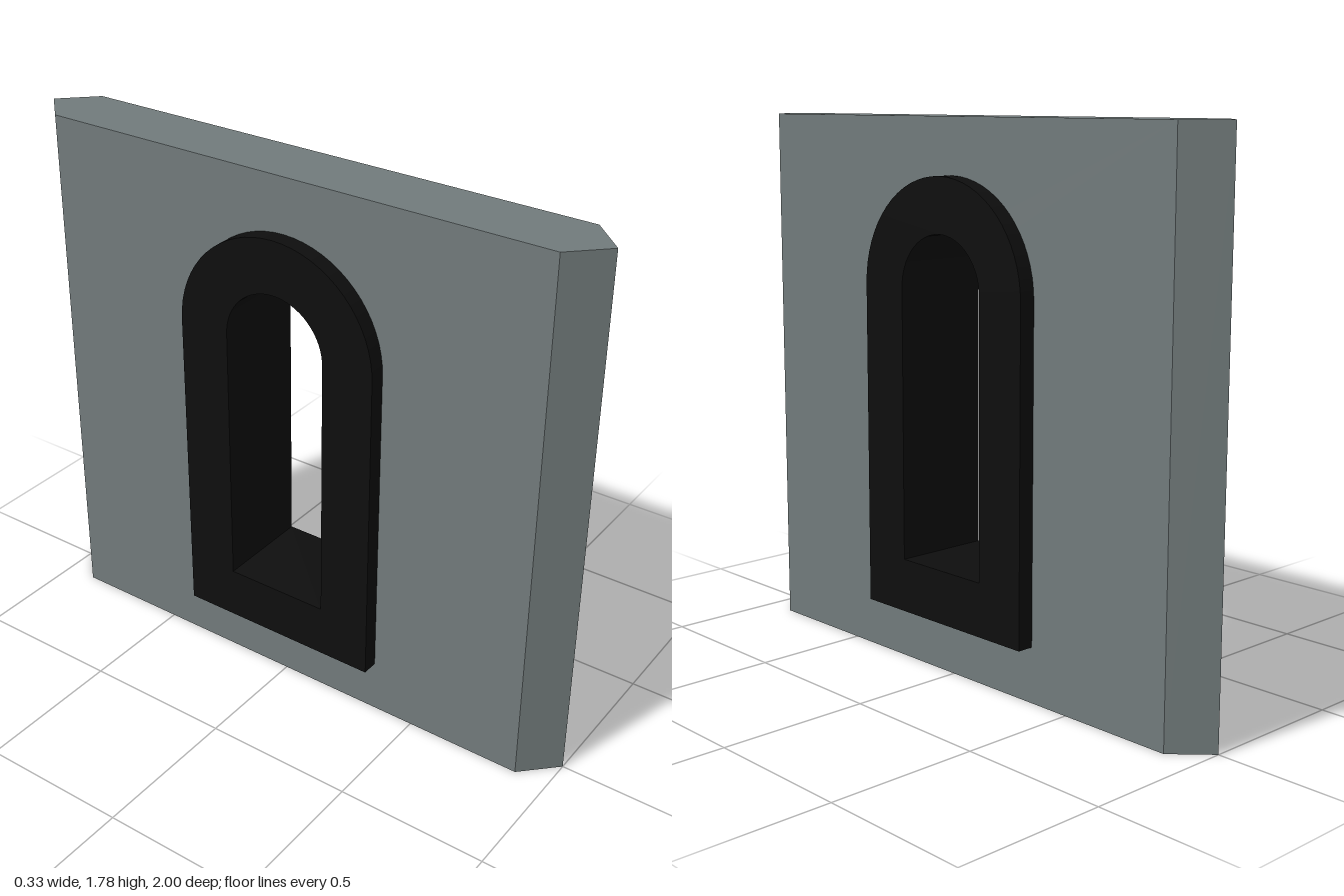
import * as THREE from 'three';

const stone = new THREE.MeshStandardMaterial({ color: 0x717a7b });
stone.name = 'grey stone';
const dark = new THREE.MeshStandardMaterial({ color: 0x0e0e0e });
dark.name = 'black frame';

// Round-headed outline: straight sides from the sill up to a half circle
const SPRING = 1.245;
function trace(path, halfWidth, sill) {
  path.moveTo(-halfWidth, sill);
  path.lineTo(halfWidth, sill);
  path.lineTo(halfWidth, SPRING);
  path.absarc(0, SPRING, halfWidth, 0, Math.PI, false);
  path.closePath();
  return path;
}

// Extrude a side-on outline and turn it so its thickness runs along x
function slab(shape, thickness, steps = 1) {
  const geometry = new THREE.ExtrudeGeometry(shape, {
    depth: thickness, steps, bevelEnabled: false, curveSegments: 16,
  });
  return geometry.translate(0, 0, -thickness / 2).rotateY(-Math.PI / 2);
}

export function createModel() {
  const group = new THREE.Group();
  group.name = 'wallWithArchedWindow';

  // Wall panel with an opening hidden behind the frame
  const outline = new THREE.Shape();
  outline.moveTo(-1, 0);
  outline.lineTo(1, 0);
  outline.lineTo(1, 1.78);
  outline.lineTo(-1, 1.78);
  outline.closePath();
  outline.holes.push(trace(new THREE.Path(), 0.27, 0.27));
  const wallGeometry = slab(outline, 0.22, 2);

  // Pull in the outer corners so both ends come to a point
  const p = wallGeometry.attributes.position;
  for (let i = 0; i < p.count; i++) {
    if (Math.abs(p.getZ(i)) > 0.99 && Math.abs(p.getX(i)) > 0.05) {
      p.setZ(i, Math.sign(p.getZ(i)) * 0.89);
    }
  }
  wallGeometry.computeVertexNormals();
  const wall = new THREE.Mesh(wallGeometry, stone);
  wall.name = 'wall';

  // Window frame standing proud of both wall faces
  const frameShape = trace(new THREE.Shape(), 0.356, 0.18);
  frameShape.holes.push(trace(new THREE.Path(), 0.179, 0.356));
  const frame = new THREE.Mesh(slab(frameShape, 0.33), dark);
  frame.name = 'windowFrame';

  group.add(wall, frame);
  return group;
}
